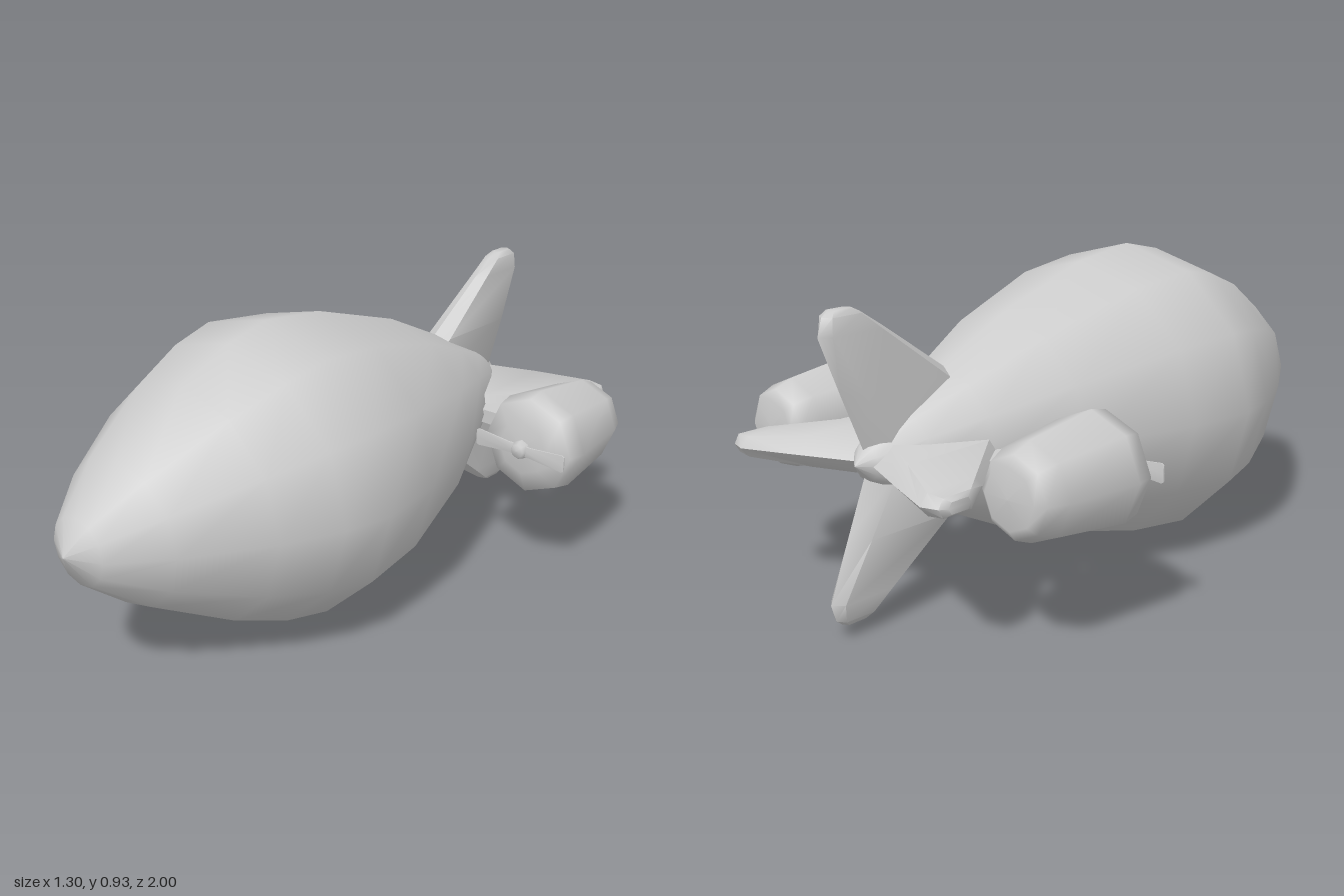
import * as THREE from 'three';
import { toCreasedNormals } from 'three/addons/utils/BufferGeometryUtils.js';

const material = new THREE.MeshStandardMaterial({ color: 0xcccccc });
const AXIS_Y = 0.472;

function part(name, geometry, parent) {
  const mesh = new THREE.Mesh(geometry, material);
  mesh.name = name;
  parent.add(mesh);
  return mesh;
}

// Body of revolution along z from [z, radius] pairs, tail to nose
function spun(profile, sides) {
  const points = profile.map(([z, r]) => new THREE.Vector2(r, z));
  return new THREE.LatheGeometry(points, sides).rotateX(Math.PI / 2);
}

// Loft growing along y; each section is [y, zFront, zBack, halfWidth]
function loft(sections, bevel, crease) {
  const pos = [], index = [], n = 6;
  for (const [y, front, back, w] of sections) {
    const cut = (front - back) * bevel;
    pos.push(0, y, front, w, y, front - cut, w, y, back + cut,
      0, y, back, -w, y, back + cut, -w, y, front - cut);
  }
  const top = (sections.length - 1) * n;
  for (let s = 0; s < top; s += n) {
    for (let i = 0; i < n; i++) {
      const j = (i + 1) % n;
      index.push(s + i, s + j, s + n + j, s + i, s + n + j, s + n + i);
    }
  }
  for (let i = 1; i < n - 1; i++) {
    index.push(top, top + i, top + i + 1, 0, i + 1, i);
  }
  const geometry = new THREE.BufferGeometry();
  geometry.setAttribute('position', new THREE.Float32BufferAttribute(pos, 3));
  geometry.setIndex(index);
  geometry.computeVertexNormals();
  return toCreasedNormals(geometry, crease);
}

export function createModel() {
  const model = new THREE.Group();
  model.name = 'airship';

  // Twelve-sided envelope, slightly wider than tall
  const hull = part('hull', spun([
    [-0.9, 0], [-0.86, 0.05], [-0.74, 0.13], [-0.58, 0.21], [-0.34, 0.327],
    [0, 0.437], [0.23, 0.467], [0.38, 0.434], [0.56, 0.36], [0.8, 0.22],
    [0.95, 0.1], [1, 0],
  ], 12), model);
  hull.scale.x = 1.035;
  hull.position.y = AXIS_Y;

  // Four swept tail fins in a cross
  const finGeometry = loft([
    [0.03, -0.31, -0.865, 0.055],
    [0.2, -0.55, -0.935, 0.045],
    [0.365, -0.785, -1, 0.03],
    [0.415, -0.86, -0.985, 0.026],
    [0.43, -0.89, -0.965, 0.016],
  ], 0.12, 0.9);
  ['topFin', 'rightFin', 'bottomFin', 'leftFin'].forEach((name, i) => {
    const fin = part(name, finGeometry, model);
    fin.position.y = AXIS_Y;
    fin.rotation.z = i * Math.PI / 2;
  });

  // Engine pods on struts, each with a two-bladed propeller
  const podGeometry = spun([
    [-0.815, 0], [-0.81, 0.085], [-0.79, 0.113], [-0.73, 0.137],
    [-0.5, 0.168], [-0.44, 0.156], [-0.41, 0.085], [-0.405, 0],
  ], 8);
  const hubGeometry = spun([
    [-0.42, 0.03], [-0.395, 0.03], [-0.38, 0.022], [-0.378, 0],
  ], 8);
  const bladeGeometry = loft([
    [0, -0.389, -0.405, 0.018],
    [0.04, -0.389, -0.402, 0.017],
    [0.155, -0.391, -0.399, 0.028],
    [0.163, -0.392, -0.398, 0.023],
  ], 0.3, 0.7);
  for (const side of [1, -1]) {
    const engine = new THREE.Group();
    engine.name = side > 0 ? 'leftEngine' : 'rightEngine';
    engine.position.set(side * 0.48, 0.467, 0);
    model.add(engine);
    part('pod', podGeometry, engine);
    part('propellerHub', hubGeometry, engine);
    for (const turn of [1, -1]) {
      part('propellerBlade', bladeGeometry, engine).rotation.z = turn * Math.PI / 2;
    }
    const strut = part('strut', new THREE.BoxGeometry(0.36, 0.045, 0.125), engine);
    strut.position.set(-side * 0.22, 0, -0.603);
  }
  return model;
}
